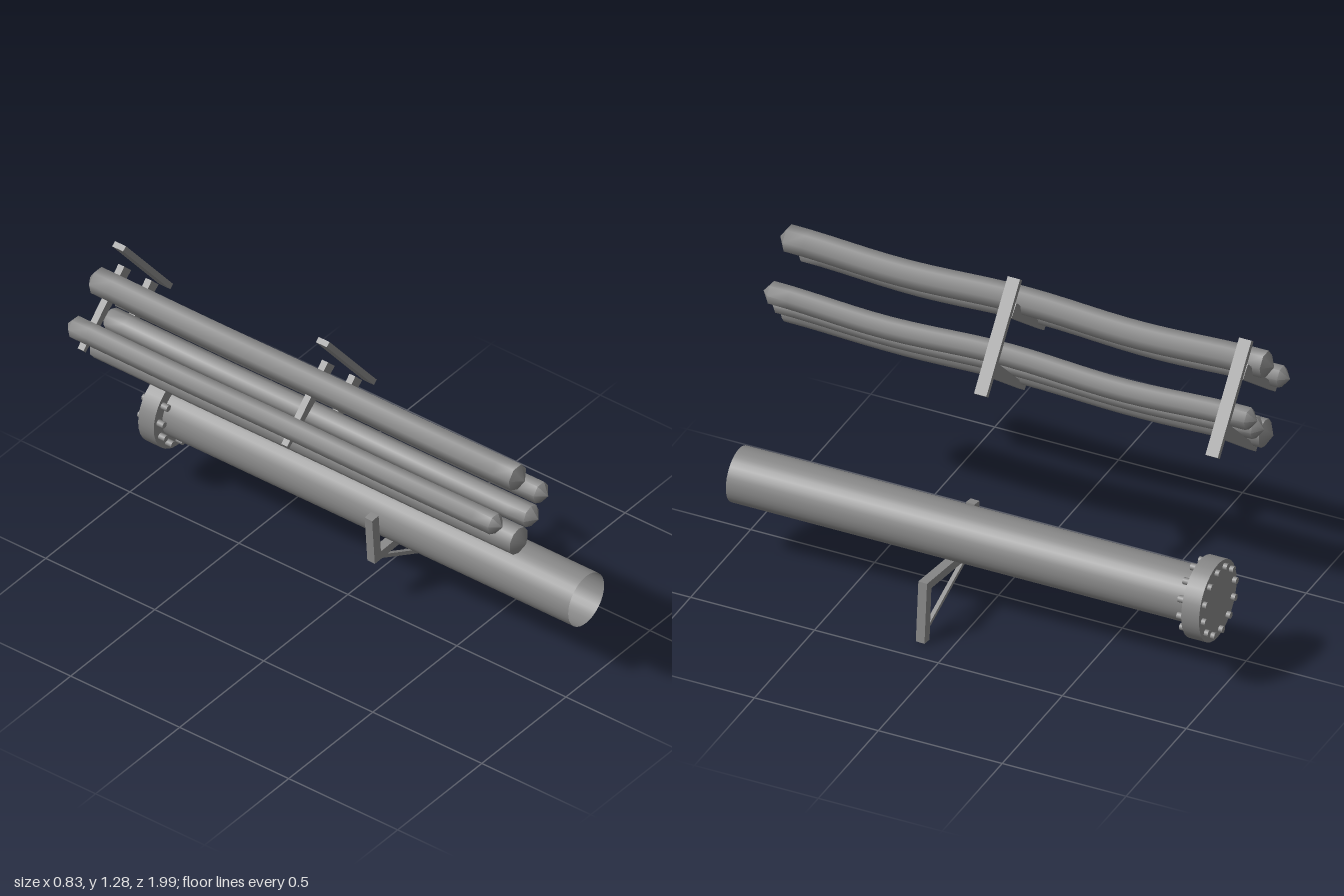
import * as THREE from 'three';
import { toCreasedNormals } from 'three/addons/utils/BufferGeometryUtils.js';

const steel = new THREE.MeshStandardMaterial({ color: 0x888888 });
const steelDouble = new THREE.MeshStandardMaterial({ color: 0x888888, side: THREE.DoubleSide });

function add(parent, name, geometry, material = steel) {
  const mesh = new THREE.Mesh(geometry, material);
  mesh.name = name;
  parent.add(mesh);
  return mesh;
}

// Flat plate from an outline in the xy plane, centred on z
function plate(points, depth) {
  const shape = new THREE.Shape(points.map(([x, y]) => new THREE.Vector2(x, y)));
  const geo = new THREE.ExtrudeGeometry(shape, { depth, bevelEnabled: false });
  return geo.translate(0, 0, -depth / 2);
}

// Straight bar between two points in the xy plane
function bar(x1, y1, x2, y2, thick, depth) {
  const geo = new THREE.BoxGeometry(Math.hypot(x2 - x1, y2 - y1), thick, depth);
  geo.rotateZ(Math.atan2(y2 - y1, x2 - x1));
  return geo.translate((x1 + x2) / 2, (y1 + y2) / 2, 0);
}

// Cylinder along z
function rod(r, z0, z1, sides, open = false) {
  const geo = new THREE.CylinderGeometry(r, r, z1 - z0, sides, 1, open);
  return geo.rotateX(Math.PI / 2).translate(0, 0, (z0 + z1) / 2);
}

// Cable with pointed ends that sags between its supports
function cable(x, y, r, sides, sag) {
  const profile = [new THREE.Vector2(0, -0.997)];
  for (let i = 0; i <= 24; i++) profile.push(new THREE.Vector2(r, -0.963 + (i / 24) * 1.926));
  profile.push(new THREE.Vector2(0, 0.997));
  const geo = new THREE.LatheGeometry(profile, sides).rotateX(Math.PI / 2);
  const p = geo.attributes.position;
  for (let i = 0; i < p.count; i++) {
    const s = sag * Math.sin((Math.PI * (p.getZ(i) - 0.02)) / 0.95) ** 2;
    p.setXY(i, p.getX(i) + x + s * 0.8, p.getY(i) + y - s);
  }
  return toCreasedNormals(geo, 0.92);
}

export function createModel() {
  const model = new THREE.Group();
  model.name = 'pipesAndCables';

  // Large pipe, open at the front, with a bolted flange at the back
  const pipe = new THREE.Group();
  pipe.name = 'flangedPipe';
  pipe.position.set(0.154, 0.34, 0);
  model.add(pipe);
  add(pipe, 'pipe', rod(0.107, -0.92, 0.974, 32, true), steelDouble);
  add(pipe, 'flange', rod(0.157, -0.96, -0.888, 32));
  for (let i = 0; i < 12; i++) {
    const a = THREE.MathUtils.degToRad(-6.5 + i * 30);
    const bolt = add(pipe, 'flangeBolt', rod(0.0135, -0.976, -0.86, 8));
    bolt.position.set(Math.cos(a) * 0.13, Math.sin(a) * 0.13, 0);
  }

  // Tilted bracket that carries the pipe
  const bracket = new THREE.Group();
  bracket.name = 'pipeBracket';
  bracket.position.z = 0.094;
  bracket.rotation.y = -0.055;
  model.add(bracket);
  add(bracket, 'bracketFrame', plate([
    [0, 0.388], [0.015, 0.184], [0.36, 0.215], [0.374, 0],
    [0.412, 0.003], [0.393, 0.252], [0.049, 0.222], [0.036, 0.393],
  ], 0.036));
  add(bracket, 'bracketBrace', bar(0.045, 0.195, 0.387, 0.033, 0.015, 0.016));

  // Cable racks: a slanted wall strip and two tapered arms each
  const arm = [[-0.158, 1.174], [-0.401, 0.935], [-0.388, 0.92], [-0.117, 1.132]];
  for (const z of [0.017, -0.917]) {
    const rack = new THREE.Group();
    rack.name = 'cableRack';
    rack.position.z = z;
    model.add(rack);
    add(rack, 'wallStrip', bar(-0.172, 1.269, 0.109, 0.925, 0.022, 0.05));
    add(rack, 'upperArm', plate(arm, 0.027));
    add(rack, 'lowerArm', plate(arm, 0.027)).position.set(0.163, -0.164, 0);
  }

  // Cables resting on the arms: x, y, radius, sides, sag
  const cables = [
    [-0.24, 1.133, 0.053, 7, 0.012],
    [-0.373, 1.002, 0.043, 7, 0.012],
    [-0.233, 0.84, 0.055, 10, 0.008],
    [-0.159, 0.908, 0.045, 8, 0.01],
    [-0.101, 0.979, 0.044, 7, 0.013],
  ];
  for (const c of cables) add(model, 'cable', cable(...c));

  return model;
}
